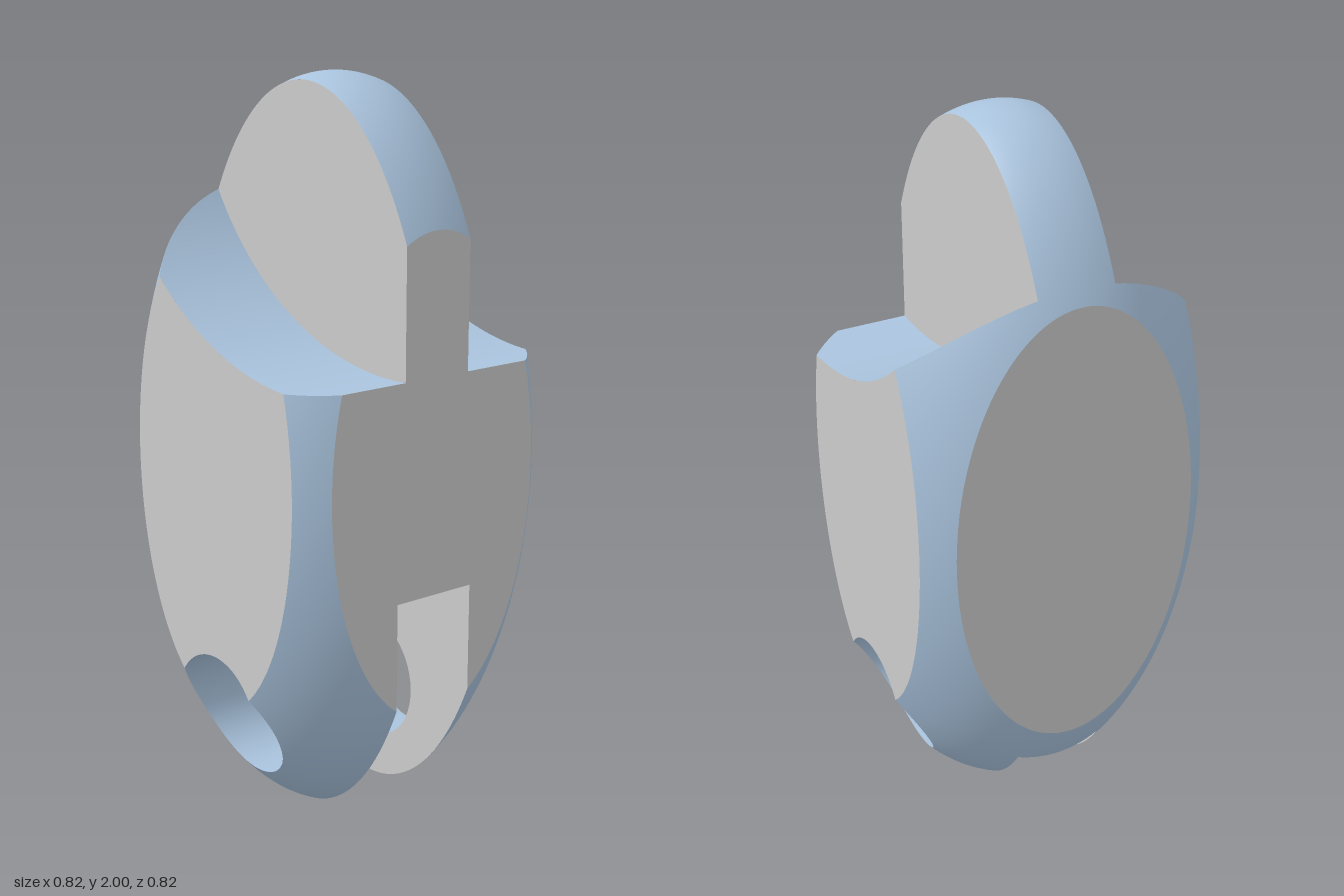
import * as THREE from 'three';

// Main dimensions
const R = 0.5326, A = 1.014, CY = 0.986;          // ellipsoid: radius, half height, centre height
const W = 0.41;                                   // half width between the flats
const TAB = 0.105, SLOT = 0.125;                  // half thickness of the tab and of the slot
const TOP = { x: 0.35, y: 2.125, r: 0.867 };      // arc of the shoulders
const CEIL = { x: 0.37, y: -0.09, r: 0.77 };      // arc of the slot ceiling
const HOLE = { x: 0, y: 0.3, r: 0.18 };           // pin hole

// Rules that are positive where material is kept
const dist = (c, p) => Math.hypot(p.x - c.x, p.y - c.y) - c.r;
const inEgg = p => 1 - (p.x * p.x + p.z * p.z) / (R * R) - ((p.y - CY) / A) ** 2;
const inX = p => W - Math.abs(p.x);
const inZ = p => W - p.z;
const offTop = p => dist(TOP, p), offCeil = p => dist(CEIL, p), offHole = p => dist(HOLE, p);
const not = f => p => -f(p);
const between = (lo, hi) => [p => p.z - lo, p => hi - p.z];

// Layers through the depth, each with its own trimming
const LAYERS = [
  [p => TAB - p.z, offCeil],
  [...between(TAB, SLOT), offTop, offCeil],
  [...between(SLOT, W), offTop, offHole],
];

// Point where rule f changes sign between a (kept) and b (cut)
function crossing(a, b, f) {
  let lo = 0, hi = 1;
  const p = new THREE.Vector3();
  for (let i = 0; i < 24; i++) {
    const m = (lo + hi) / 2;
    if (f(p.lerpVectors(a, b, m)) >= 0) lo = m; else hi = m;
  }
  return p.lerpVectors(a, b, lo);
}

// Trim a polygon by a rule
function trim(poly, f) {
  const out = [];
  poly.forEach((a, i) => {
    const b = poly[(i + 1) % poly.length];
    const ka = f(a) >= 0, kb = f(b) >= 0;
    if (ka) out.push(a);
    if (ka !== kb) out.push(ka ? crossing(a, b, f) : crossing(b, a, f));
  });
  return out;
}

// Trimmed surface patch for z >= 0, mirrored to the back
function patch(name, material, nu, nv, point, normal, pieces) {
  const pos = [], nor = [];
  const ab = new THREE.Vector3(), ac = new THREE.Vector3();
  const addTriangle = (a, b, c) => {
    const face = ab.subVectors(b, a).cross(ac.subVectors(c, a));
    if (face.length() < 1e-12) return;
    const mid = a.clone().add(b).add(c).divideScalar(3);
    const order = face.dot(normal(mid)) > 0 ? [a, b, c] : [a, c, b];
    for (const s of [1, -1]) {
      for (const p of s > 0 ? order : [...order].reverse()) {
        const n = normal(p).normalize();
        pos.push(p.x, p.y, p.z * s);
        nor.push(n.x, n.y, n.z * s);
      }
    }
  };
  for (let i = 0; i < nu; i++) for (let j = 0; j < nv; j++) {
    const at = (di, dj) => point((i + di) / nu, (j + dj) / nv);
    const [a, b, c, d] = [at(0, 0), at(1, 0), at(1, 1), at(0, 1)];
    for (const tri of [[a, b, c], [a, c, d]]) for (const rules of pieces) {
      let poly = tri;
      for (const f of rules) if (poly.length) poly = trim(poly, f);
      for (let k = 1; k + 1 < poly.length; k++) addTriangle(poly[0], poly[k], poly[k + 1]);
    }
  }
  const g = new THREE.BufferGeometry();
  g.setAttribute('position', new THREE.Float32BufferAttribute(pos, 3));
  g.setAttribute('normal', new THREE.Float32BufferAttribute(nor, 3));
  const mesh = new THREE.Mesh(g, material);
  mesh.name = name;
  return mesh;
}

export function createModel() {
  const group = new THREE.Group();
  group.name = 'pivotLink';
  const grey = new THREE.MeshStandardMaterial({ color: 0xcccccc });
  const blue = new THREE.MeshStandardMaterial({ color: 0xaac4de });
  const V = (x, y, z) => new THREE.Vector3(x, y, z);
  const span = u => (2 * u - 1) * W;
  const add = (...args) => group.add(patch(...args));

  // Rounded outer skin
  add('roundedSkin', blue, 80, 64,
    (u, v) => V(R * Math.sin(u * Math.PI) * Math.cos(v * Math.PI),
      CY + A * Math.cos(u * Math.PI), R * Math.sin(u * Math.PI) * Math.sin(v * Math.PI)),
    p => V(p.x / (R * R), (p.y - CY) / (A * A), p.z / (R * R)),
    LAYERS.map(l => [inX, inZ, ...l]));

  // Flats on the left and right
  for (const s of [1, -1]) {
    add(s > 0 ? 'leftFlat' : 'rightFlat', grey, 16, 56,
      (u, v) => V(s * W, 2 * v, u * W), () => V(s, 0, 0),
      LAYERS.map(l => [inEgg, ...l]));
  }

  // Flats on the front and back
  add('frontAndBackFlats', grey, 32, 64,
    (u, v) => V(span(u), 2 * v, W), () => V(0, 0, 1), [[inEgg, offTop, offHole]]);

  // Both sides of the upper tab
  add('tabSides', grey, 32, 40,
    (u, v) => V(span(u), 1.2 + 0.8 * v, TAB), () => V(0, 0, 1), [[inEgg, not(offTop)]]);

  // Inner walls of the lower slot
  add('slotWalls', grey, 32, 32,
    (u, v) => V(span(u), 0.75 * v, SLOT), () => V(0, 0, -1), [[inEgg, offHole, not(offCeil)]]);

  // Surfaces swept along z from an arc
  const sweep = (c, a0, a1, z0, z1) => (u, v) => {
    const a = a0 + (a1 - a0) * u;
    return V(c.x + c.r * Math.cos(a), c.y + c.r * Math.sin(a), z0 + (z1 - z0) * v);
  };
  const inward = c => p => V(c.x - p.x, c.y - p.y, 0);

  // Hollowed shoulders beside the tab
  add('shoulders', blue, 64, 16, sweep(TOP, Math.PI, 1.6 * Math.PI, TAB, W), inward(TOP), [[inEgg, inX]]);
  // Curved ceiling of the slot
  add('slotCeiling', blue, 64, 8, sweep(CEIL, 0.4 * Math.PI, Math.PI, 0, SLOT), inward(CEIL), [[inEgg, inX]]);
  // Pin hole through both cheeks
  add('pinHole', blue, 64, 16, sweep(HOLE, 0, 2 * Math.PI, SLOT, W), inward(HOLE), [[inEgg]]);

  return group;
}
